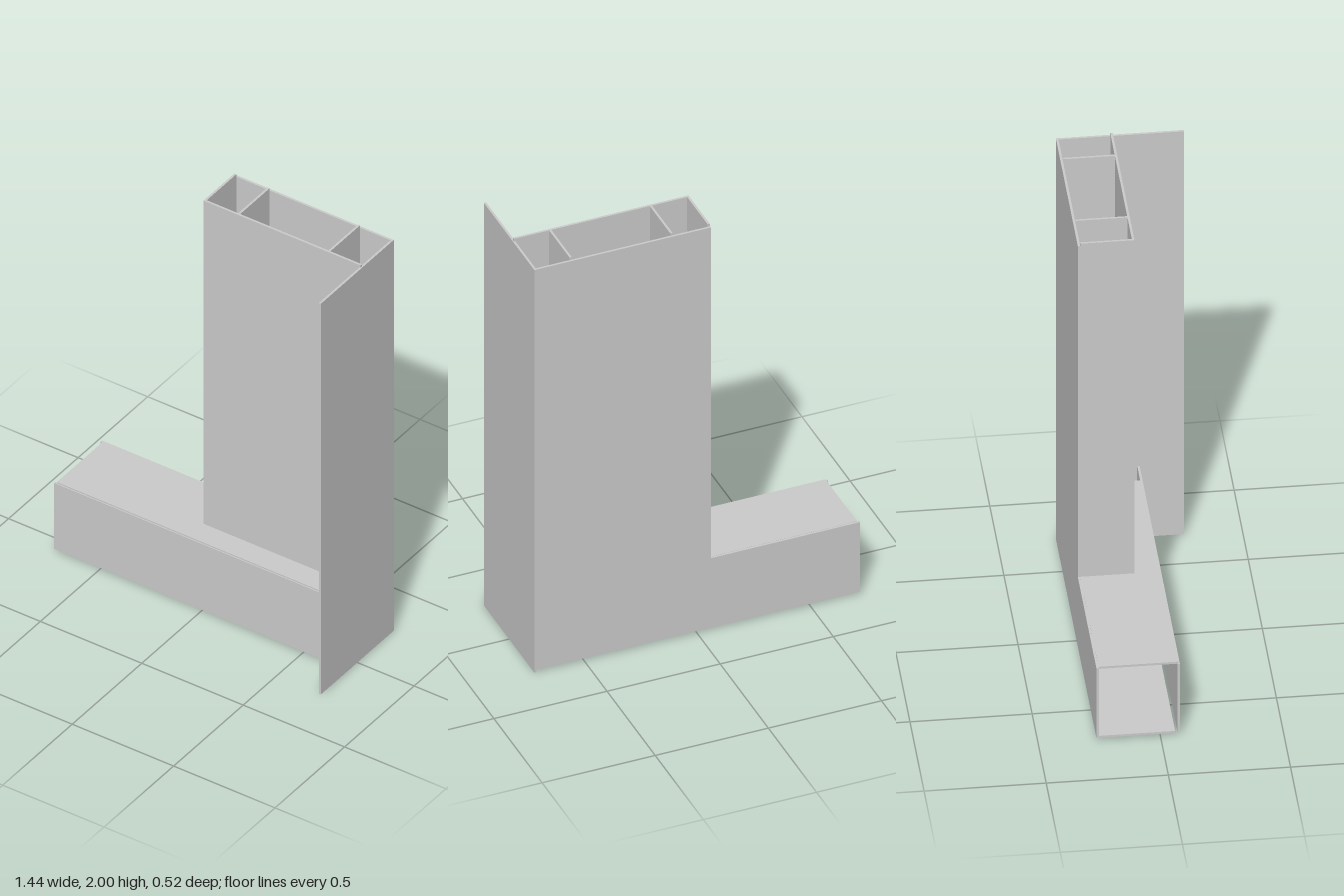
import * as THREE from 'three';

export function createModel() {
  const group = new THREE.Group();
  group.name = 'wallCorner';
  const material = new THREE.MeshStandardMaterial({ color: 0xcccccc });

  const add = (name, geometry) => {
    const mesh = new THREE.Mesh(geometry, material);
    mesh.name = name;
    group.add(mesh);
    return mesh;
  };
  // Board given by its limits on each axis
  const board = (name, [x0, x1], [y0, y1], [z0, z1]) =>
    add(name, new THREE.BoxGeometry(x1 - x0, y1 - y0, z1 - z0)
      .translate((x0 + x1) / 2, (y0 + y1) / 2, (z0 + z1) / 2));
  // Flat plate cut from an outline
  const plate = (points, depth) => new THREE.ExtrudeGeometry(
    new THREE.Shape(points.map(([x, y]) => new THREE.Vector2(x, y))),
    { depth, bevelEnabled: false });

  // L-shaped back panel shared by column and base
  add('backPanel', plate([
    [-0.72, 0.012], [0.71, 0.012], [0.71, 1.988], [-0.06, 1.988], [-0.06, 0.355], [-0.72, 0.355],
  ], 0.01).translate(0, 0, -0.262));

  // Tall side panel
  board('sidePanel', [0.71, 0.72], [0, 1.988], [-0.262, 0.262]);

  // Hollow base, open at its free end
  board('baseFloor', [-0.72, 0.71], [0.012, 0.022], [-0.252, 0.06]);
  board('baseFront', [-0.72, 0.71], [0.015, 0.35], [0.07, 0.08]);
  // Base top, notched beside the side panel
  add('baseTop', plate([
    [-0.71, 0.252], [-0.71, -0.075], [0.6, -0.075], [0.6, 0.03], [0.71, 0.03], [0.71, 0.252],
  ], 0.01).rotateX(-Math.PI / 2).translate(0, 0.346, 0));

  // Hollow column with two partitions, open at the top
  board('columnFront', [-0.06, 0.715], [0.356, 2], [-0.04, -0.03]);
  board('columnSide', [-0.06, -0.05], [0.356, 2], [-0.252, -0.04]);
  for (const x of [0.105, 0.55]) {
    board('partition', [x, x + 0.01], [0.356, 2], [-0.252, -0.04]);
  }
  return group;
}
